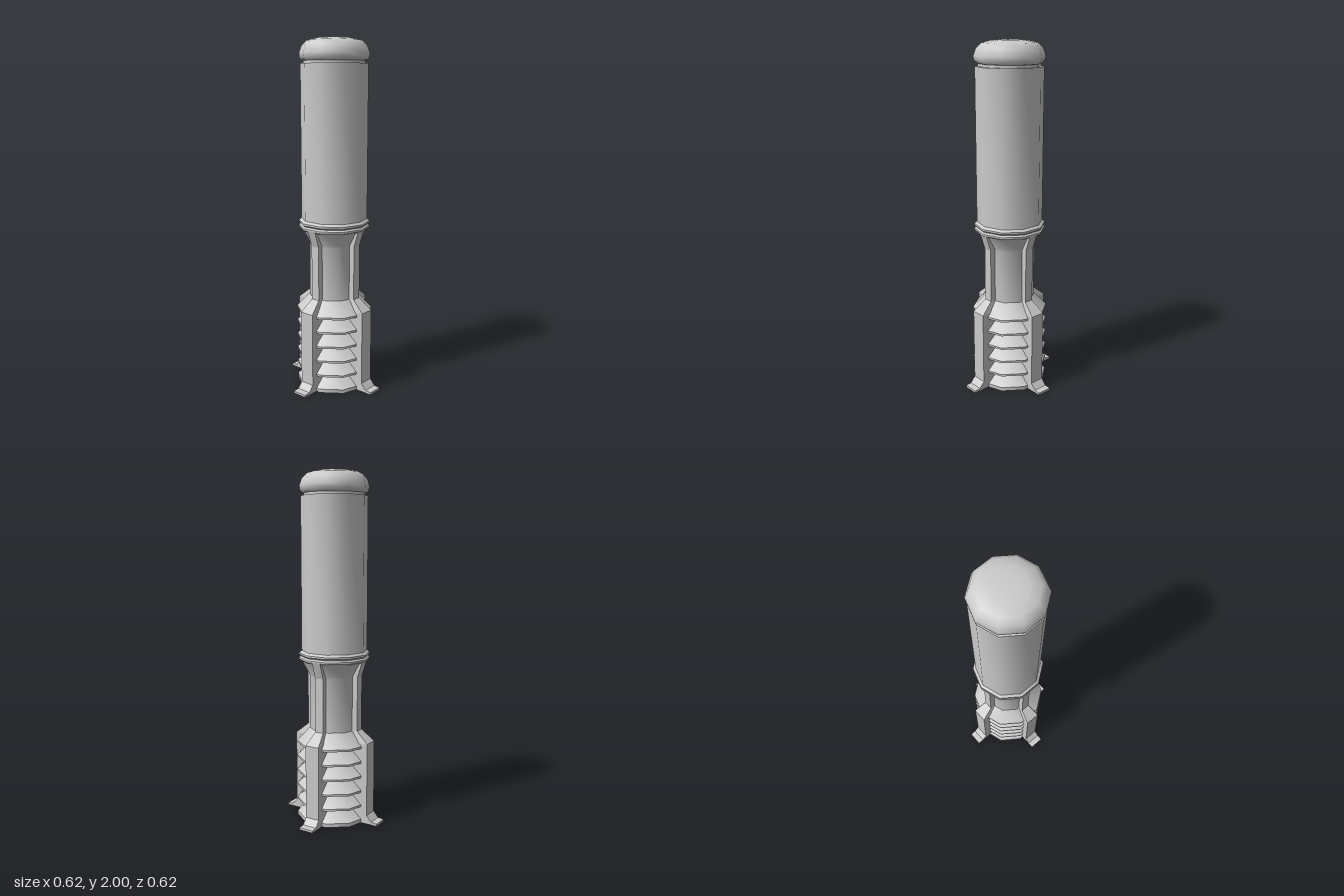
import * as THREE from 'three';
import { toCreasedNormals } from 'three/addons/utils/BufferGeometryUtils.js';

const SIDES = 10;
const material = new THREE.MeshStandardMaterial({ color: 0xcccccc });
const flatMaterial = new THREE.MeshStandardMaterial({ color: 0xcccccc, flatShading: true });

// Ten-sided turned part from [radius, y] points listed bottom to top
function turned(name, points, crease = 0.68) {
  const profile = points.map(([r, y]) => new THREE.Vector2(r, y));
  const lathe = new THREE.LatheGeometry(profile, SIDES, Math.PI / 2);
  const mesh = new THREE.Mesh(toCreasedNormals(lathe, crease), material);
  mesh.name = name;
  return mesh;
}

// Fin facing +z, lofted through [y, outer radius, half width] sections
function finGeometry() {
  const inner = 0.1;
  const sections = [
    [0, 0.308, 0.043], [0.013, 0.308, 0.043], [0.016, 0.272, 0.043],
    [0.05, 0.242, 0.043], [0.475, 0.242, 0.043], [0.538, 0.167, 0.026],
    [0.85, 0.167, 0.026], [0.945, 0.198, 0.026],
  ];
  const positions = [];
  const index = [0, 2, 1, 0, 3, 2];
  sections.forEach(([y, r, w], i) => {
    positions.push(-w, y, inner, -w, y, r, w, y, r, w, y, inner);
    if (i === 0) return;
    for (let j = 0; j < 3; j++) {
      const a = (i - 1) * 4 + j;
      index.push(a, a + 1, a + 5, a, a + 5, a + 4);
    }
  });
  const geometry = new THREE.BufferGeometry();
  geometry.setAttribute('position', new THREE.Float32BufferAttribute(positions, 3));
  geometry.setIndex(index);
  const flat = geometry.toNonIndexed();
  flat.computeVertexNormals();
  return flat;
}

export function createModel() {
  const model = new THREE.Group();
  model.name = 'finnedCanister';

  // Base with sawtooth cooling ribs: flat underside, sloping top
  const base = [[0, 0], [0.219, 0], [0.219, 0.022]];
  const pitch = 0.087;
  for (let i = 1; i <= 5; i++) {
    const y = 0.022 + i * pitch;
    base.push([0.15, y - 0.026], [0.219, y - 0.012], [0.219, y]);
  }
  base.push([0.146, 0.535]);
  model.add(turned('ribbedBase', base, 0.64));

  // Slim neck flaring out to the collar
  model.add(turned('neck', [[0.143, 0.52], [0.143, 0.85], [0.192, 0.94]]));

  // Double ring collar
  model.add(turned('collar', [
    [0.15, 0.932], [0.194, 0.932], [0.204, 0.941], [0.204, 0.951], [0.195, 0.96],
    [0.204, 0.969], [0.204, 0.979], [0.188, 0.992],
  ]));

  // Main tube
  model.add(turned('tube', [[0.189, 0.985], [0.189, 1.86], [0.165, 1.86]]));

  // Recess below the cap, then the domed cap
  model.add(turned('capNeck', [[0.172, 1.855], [0.172, 1.89]]));
  model.add(turned('cap', [
    [0.165, 1.872], [0.182, 1.877], [0.194, 1.892], [0.196, 1.915], [0.182, 1.955],
    [0.152, 1.983], [0.1, 1.995], [0.045, 2], [0, 2],
  ], 0.9));

  // Four fins with flared feet
  const geometry = finGeometry();
  ['frontFin', 'leftFin', 'backFin', 'rightFin'].forEach((name, i) => {
    const fin = new THREE.Mesh(geometry, flatMaterial);
    fin.name = name;
    fin.rotation.y = (i * Math.PI) / 2;
    model.add(fin);
  });

  return model;
}
